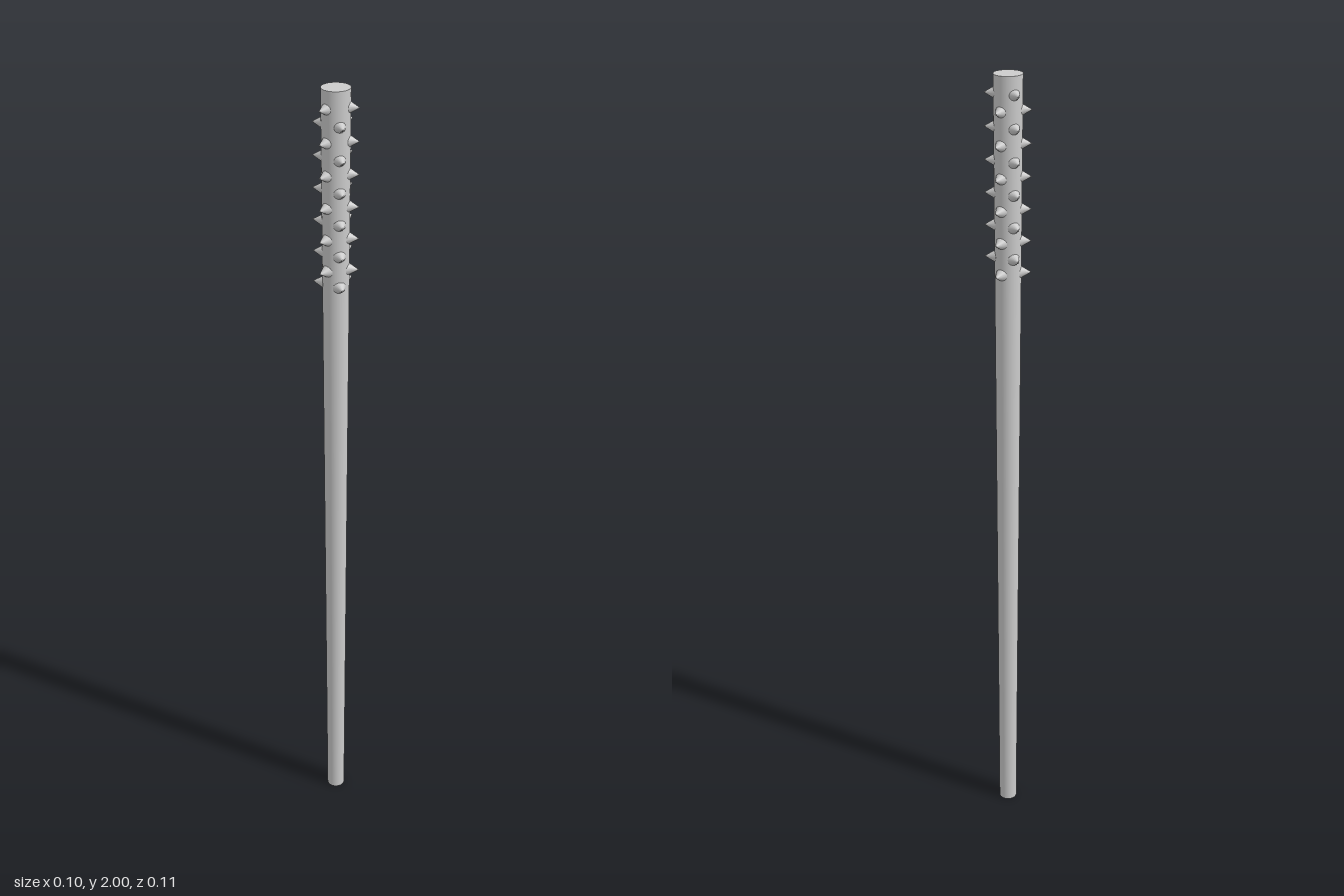
import * as THREE from 'three';

export function createModel() {
  const group = new THREE.Group();
  const material = new THREE.MeshStandardMaterial({ color: 0xcccccc });

  // Tapered shaft, thicker at the top
  const height = 2;
  const shaft = new THREE.Mesh(new THREE.CylinderGeometry(0.034, 0.023, height, 32), material);
  shaft.name = 'shaft';
  shaft.position.y = height / 2;
  group.add(shaft);

  // Spike cone: base sunk into the shaft, tip pointing along +z
  const tip = 0.055, base = 0.028;
  const spikeGeometry = new THREE.ConeGeometry(0.0155, tip - base, 16);
  spikeGeometry.rotateX(Math.PI / 2);
  spikeGeometry.translate(0, 0, (tip + base) / 2);

  // Rings of three spikes, each ring turned 60 degrees from the one below
  const spikes = new THREE.Group();
  spikes.name = 'spikes';
  for (let ring = 0; ring < 12; ring++) {
    for (let i = 0; i < 3; i++) {
      const spike = new THREE.Mesh(spikeGeometry, material);
      spike.name = 'spike';
      spike.position.y = 1.535 + ring * 0.0384;
      spike.rotation.y = (ring % 2) * Math.PI / 3 + i * Math.PI * 2 / 3;
      spikes.add(spike);
    }
  }
  group.add(spikes);

  return group;
}
